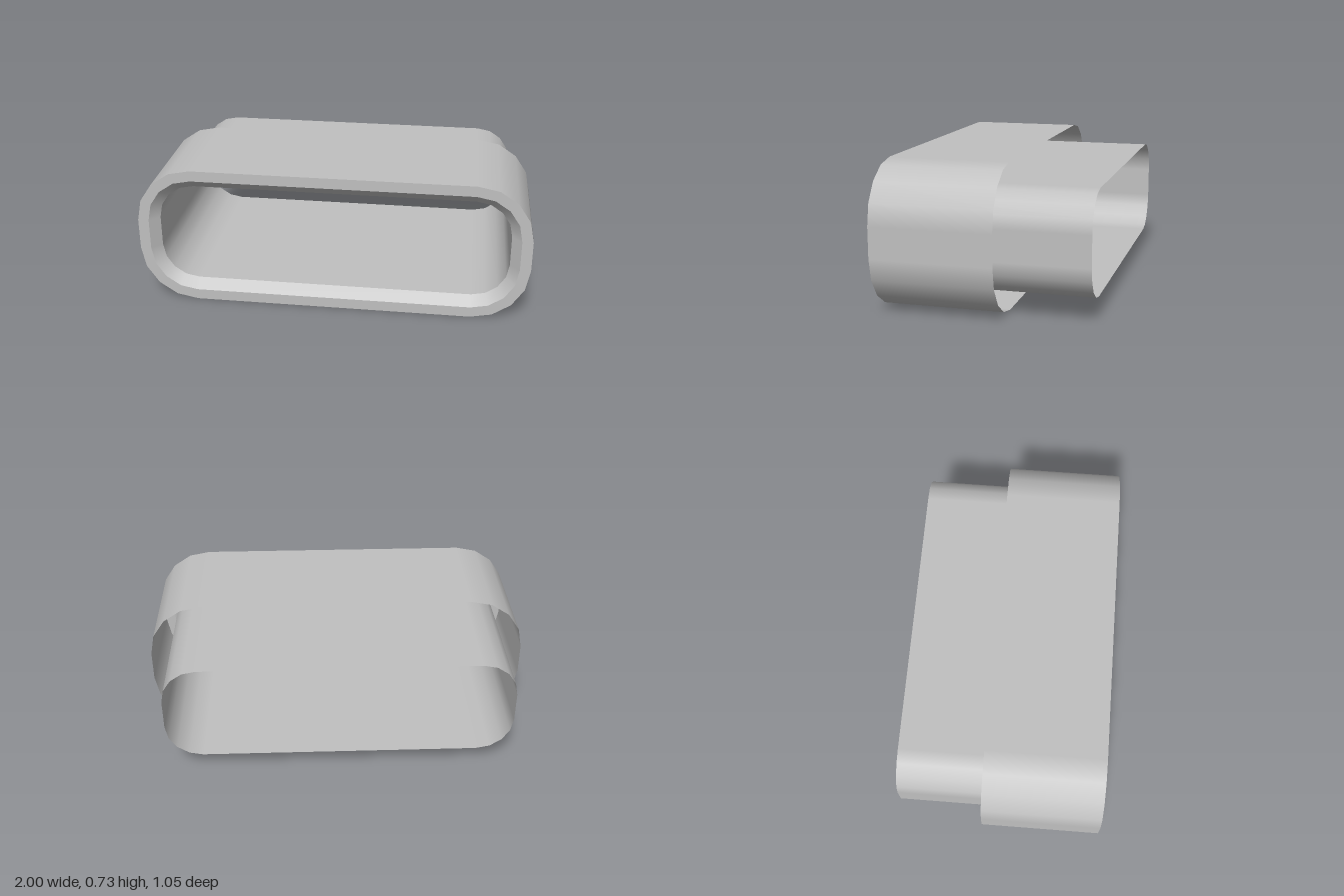
import * as THREE from 'three';

const CORE_X = 0.713, CORE_Y = 0.079, MID_Y = 0.366; // corner centres
const STEPS = 4; // facets per rounded corner

// Rounded-rectangle outline: position and outward direction of each point
function outline(r) {
  const points = [];
  for (let c = 0; c < 4; c++) {
    const sx = c === 0 || c === 3 ? 1 : -1, sy = c < 2 ? 1 : -1;
    for (let i = 0; i <= STEPS; i++) {
      const a = (c + i / STEPS) * Math.PI / 2;
      const nx = Math.cos(a), ny = Math.sin(a);
      points.push({ x: sx * CORE_X + r * nx, y: MID_Y + sy * CORE_Y + r * ny, nx, ny });
    }
  }
  return points;
}

// Surface between two outlines, each given as [corner radius, z]
function band([r0, z0], [r1, z1]) {
  const a = outline(r0), b = outline(r1), n = a.length;
  const dr = r1 - r0, dz = z1 - z0, len = Math.hypot(dr, dz);
  const positions = [], normals = [], index = [];
  for (let i = 0; i < n; i++) {
    positions.push(a[i].x, a[i].y, z0, b[i].x, b[i].y, z1);
    for (let k = 0; k < 2; k++) {
      normals.push(-dz / len * a[i].nx, -dz / len * a[i].ny, dr / len);
    }
    const p = 2 * i, q = 2 * ((i + 1) % n);
    index.push(p, p + 1, q, q, p + 1, q + 1);
  }
  const g = new THREE.BufferGeometry();
  g.setAttribute('position', new THREE.Float32BufferAttribute(positions, 3));
  g.setAttribute('normal', new THREE.Float32BufferAttribute(normals, 3));
  g.setIndex(index);
  return g;
}

export function createModel() {
  const group = new THREE.Group();
  const grey = new THREE.MeshStandardMaterial({ color: 0xc0c0c0, side: THREE.DoubleSide });
  grey.name = 'light grey';

  const OUTER = 0.287, LIP = 0.232, INNER = 0.184;
  const FRONT = 0.525, BACK = -0.525, STEP = -0.085, THROAT = 0.475;

  const parts = {
    outerSleeve: band([OUTER, FRONT], [OUTER, STEP]), // open at the back
    frontRim: band([LIP, FRONT], [OUTER, FRONT]),
    innerBevel: band([INNER, THROAT], [LIP, FRONT]),
    innerDuct: band([INNER, THROAT], [INNER, BACK]), // open at both ends
  };
  for (const [name, geometry] of Object.entries(parts)) {
    const mesh = new THREE.Mesh(geometry, grey);
    mesh.name = name;
    group.add(mesh);
  }
  return group;
}
